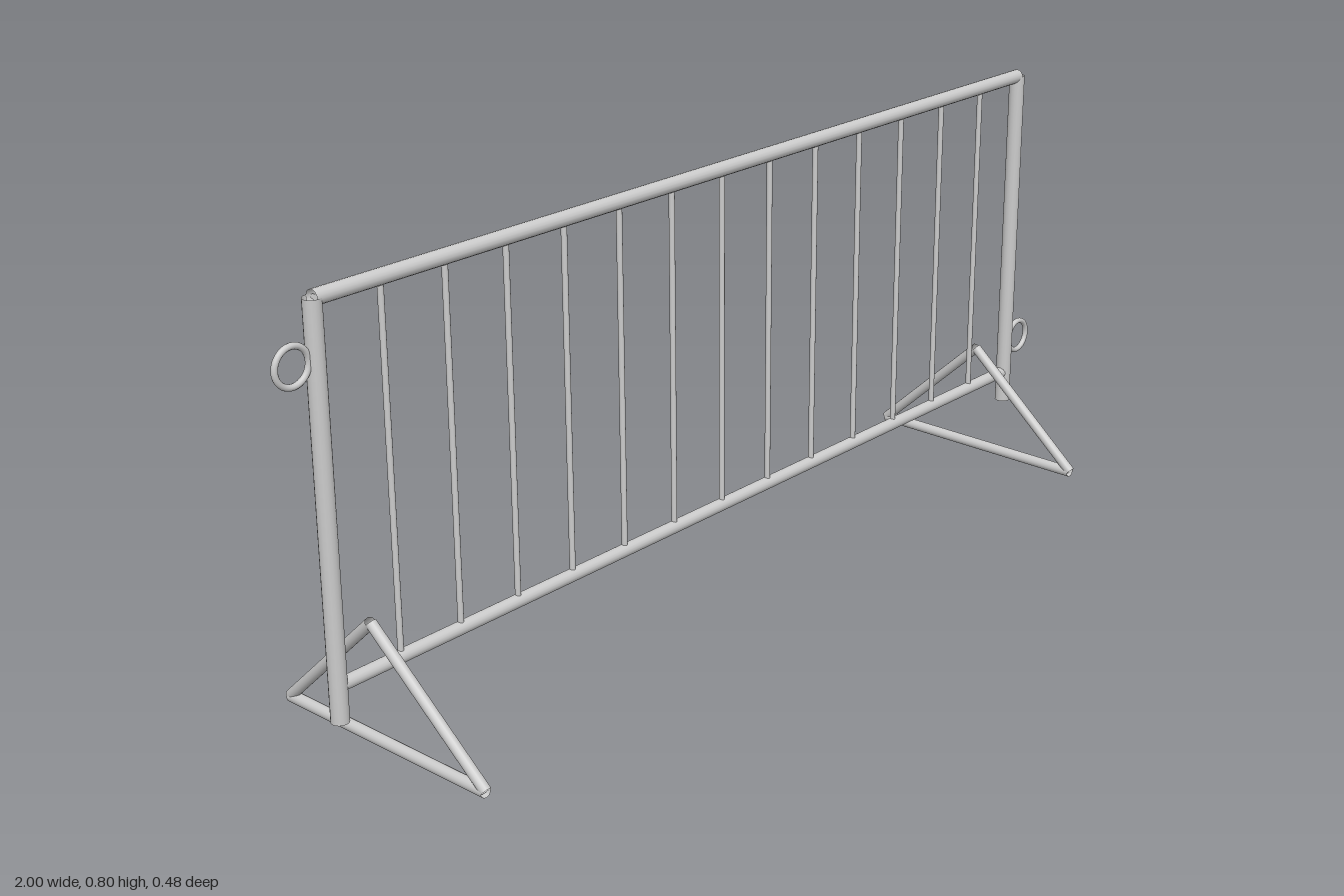
import * as THREE from 'three';

export function createModel() {
  const group = new THREE.Group();
  group.name = 'crowdBarrier';
  const steel = new THREE.MeshStandardMaterial({ color: 0xcccccc, side: THREE.DoubleSide });

  // Open-ended round tube between two points
  function tube(name, from, to, radius, parent = group) {
    const a = new THREE.Vector3(...from);
    const b = new THREE.Vector3(...to);
    const dir = b.clone().sub(a);
    const mesh = new THREE.Mesh(
      new THREE.CylinderGeometry(radius, radius, dir.length(), 16, 1, true), steel);
    mesh.position.copy(a).add(b).multiplyScalar(0.5);
    mesh.quaternion.setFromUnitVectors(new THREE.Vector3(0, 1, 0), dir.normalize());
    mesh.name = name;
    parent.add(mesh);
  }

  const halfWidth = 0.917, topY = 0.789, bottomY = 0.148;

  // Frame: two rails and two end posts
  tube('topRail', [-halfWidth, topY, 0], [halfWidth, topY, 0], 0.0135);
  tube('bottomRail', [-halfWidth, bottomY, 0], [halfWidth, bottomY, 0], 0.012);
  for (const [side, name] of [[-1, 'rightPost'], [1, 'leftPost']]) {
    tube(name, [side * halfWidth, 0.085, 0], [side * halfWidth, 0.79, 0], 0.0155);
  }

  // Evenly spaced upright bars
  const gaps = 14;
  for (let i = 1; i < gaps; i++) {
    const x = -halfWidth + (2 * halfWidth * i) / gaps;
    tube('uprightBar' + i, [x, bottomY, 0], [x, topY, 0], 0.0053);
  }

  // Coupling rings: high on one end, low on the other
  for (const [name, x, y] of [['rightRing', -0.9625, 0.694], ['leftRing', 0.9625, 0.2175]]) {
    const ring = new THREE.Mesh(new THREE.TorusGeometry(0.032, 0.0055, 12, 32), steel);
    ring.position.set(x, y, 0);
    ring.name = name;
    group.add(ring);
  }

  // Triangular feet, both leaning the same way
  for (const [name, x] of [['rightFoot', -0.83], ['leftFoot', 0.825]]) {
    const foot = new THREE.Group();
    foot.name = name;
    foot.position.x = x;
    const apex = [-0.014, 0.23, 0];
    tube('floorBar', [0, 0.0105, -0.235], [0, 0.0105, 0.235], 0.0105, foot);
    tube('frontBrace', [0, 0.0115, 0.235], apex, 0.01, foot);
    tube('backBrace', [0, 0.0115, -0.235], apex, 0.01, foot);
    group.add(foot);
  }

  return group;
}
